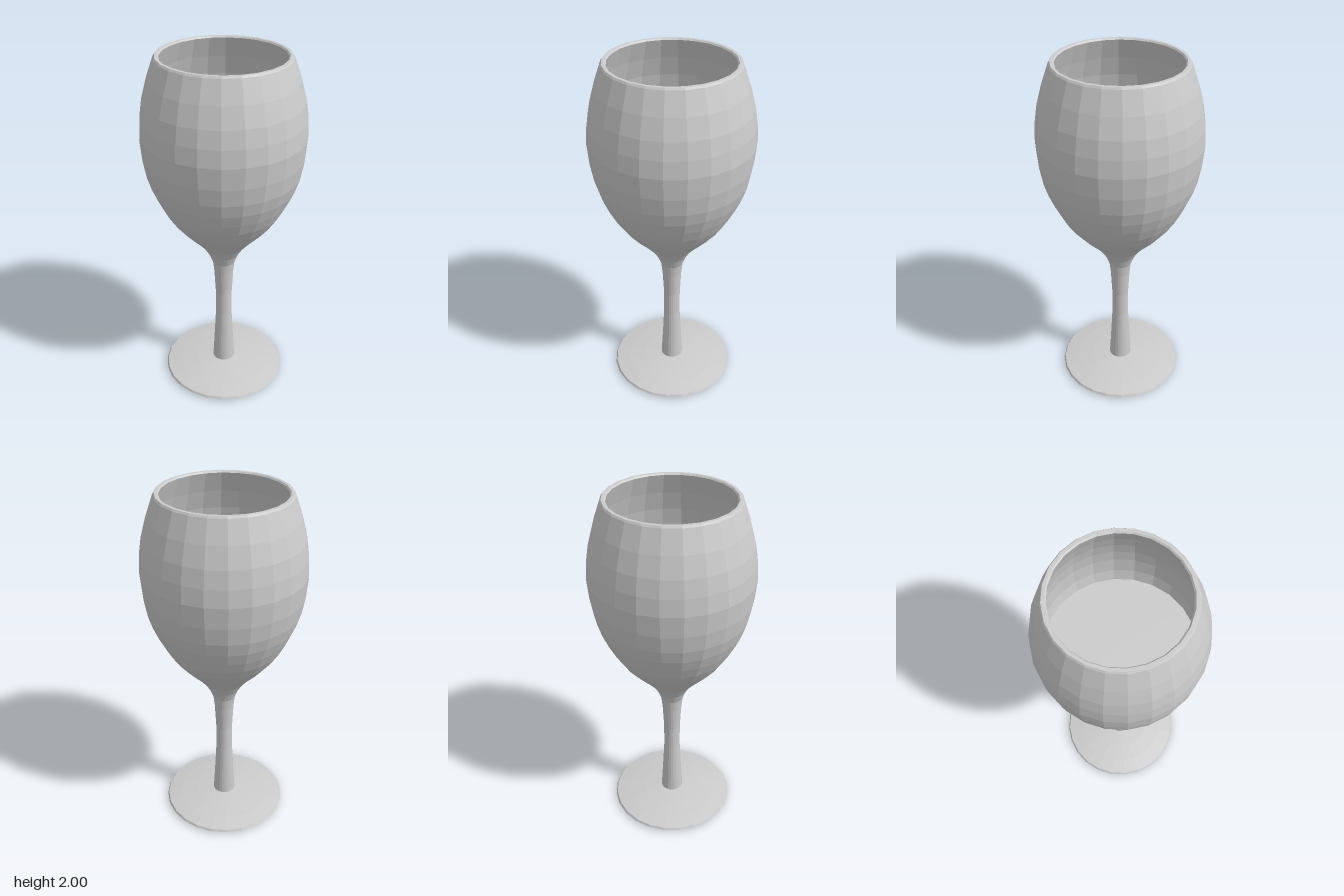
import * as THREE from 'three';

const SIDES = 24;

// Smooth curve through [radius, height] points, sampled into a profile
function profile(points, rows) {
  const curve = new THREE.SplineCurve(points.map(([r, y]) => new THREE.Vector2(r, y)));
  return curve.getPoints(rows);
}

function turned(name, points, material) {
  const mesh = new THREE.Mesh(new THREE.LatheGeometry(points, SIDES), material);
  mesh.name = name;
  return mesh;
}

const v = (r, y) => new THREE.Vector2(r, y);

export function createModel() {
  const group = new THREE.Group();
  group.name = 'wineGlass';
  const glass = new THREE.MeshStandardMaterial({ color: 0xcccccc, flatShading: true });

  // Foot: flat underside, thin edge, shallow dome up to the stem
  const foot = [v(0, 0.005), v(0.35, 0), v(0.362, 0.01), v(0.355, 0.022), v(0.27, 0.037), v(0.17, 0.05), v(0.055, 0.06)];
  group.add(turned('foot', foot, glass));

  // Stem: slightly waisted, flaring into the bowl
  const stem = [v(0.066, 0.058), v(0.058, 0.2), v(0.048, 0.4), v(0.048, 0.55), v(0.056, 0.7), v(0.064, 0.77)];
  group.add(turned('stem', stem, glass));

  // Bowl: outer wall, rim, then inner wall back down to the bottom
  const outer = profile([
    [0.064, 0.77], [0.098, 0.85], [0.155, 0.925], [0.235, 1.01], [0.305, 1.1], [0.36, 1.2], [0.402, 1.3],
    [0.43, 1.41], [0.447, 1.57], [0.437, 1.7], [0.41, 1.83], [0.355, 1.99]], 15);
  const rim = [v(0.348, 2), v(0.332, 2), v(0.325, 1.992)];
  const inner = profile([
    [0.325, 1.992], [0.38, 1.83], [0.408, 1.7], [0.417, 1.57], [0.4, 1.41], [0.33, 1.2], [0.205, 1.03], [0, 0.93]], 10);
  group.add(turned('bowl', [...outer, ...rim, ...inner.slice(1)], glass));

  // Level drink surface inside the bowl
  const drink = new THREE.Mesh(new THREE.CircleGeometry(0.402, SIDES), glass);
  drink.name = 'drinkSurface';
  drink.rotation.x = -Math.PI / 2;
  drink.position.y = 1.42;
  group.add(drink);

  return group;
}
